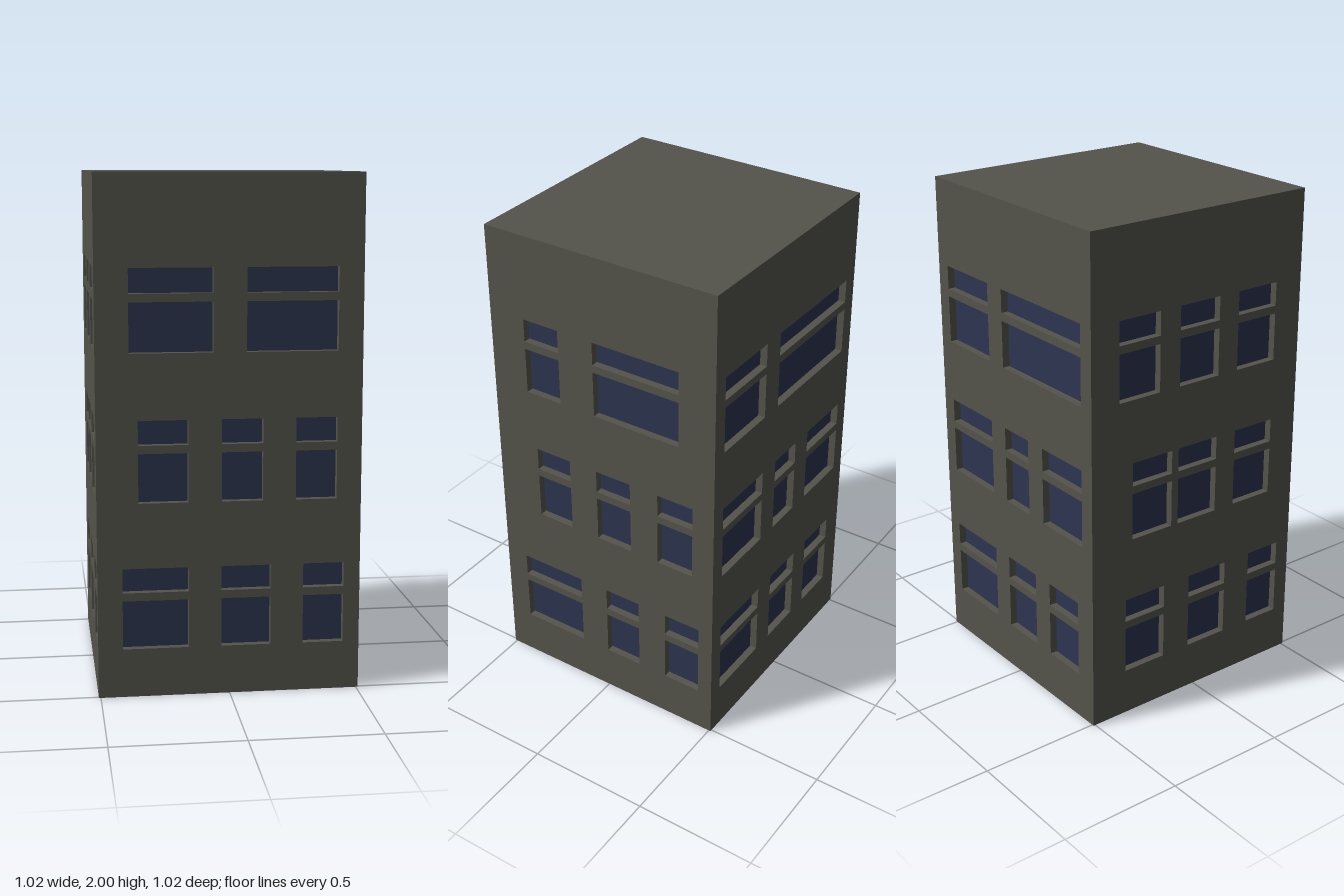
import * as THREE from 'three';

// Everything sits on a modular grid: 32 x 63 x 32 units, 63 units = 2.
const U = 2 / 63;
const WIDTH = 32, HEIGHT = 63;
const half = WIDTH / 2 * U;

// Storeys: lower and upper pane heights
const floors = [
  [[6, 12], [13, 16]],
  [[24, 30], [31, 34]],
  [[42, 48], [49, 52]],
];

// Facades: window spans per storey, counted from the facade's own left edge
const facades = [
  { name: 'frontWall', turn: 0, inset: 0,
    spans: [[[3, 11], [15, 21], [25, 30]], [[5, 11], [15, 20], [24, 29]], [[4, 14], [18, 29]]] },
  { name: 'sideWallPlusX', turn: Math.PI / 2, inset: 1,
    spans: [[[3, 12], [16, 21], [25, 30]], [[6, 11], [15, 20], [24, 29]], [[5, 10], [15, 27]]] },
  { name: 'backWall', turn: Math.PI, inset: 0,
    spans: [[[2, 11], [14, 20], [23, 29]], [[2, 11], [14, 19], [22, 30]], [[2, 11], [14, 30]]] },
  { name: 'sideWallMinusX', turn: -Math.PI / 2, inset: 1,
    spans: [[[5, 11], [15, 21], [25, 30]], [[6, 12], [13, 19], [22, 28]], [[4, 10], [13, 19], [22, 28]]] },
];

// Adds a closed rectangle, in grid units, to a shape or path
function rect(path, x0, y0, x1, y1) {
  const X = (v) => v * U - half;
  path.moveTo(X(x0), y0 * U);
  path.lineTo(X(x1), y0 * U);
  path.lineTo(X(x1), y1 * U);
  path.lineTo(X(x0), y1 * U);
  path.closePath();
  return path;
}

export function createModel() {
  const wall = new THREE.MeshStandardMaterial({ color: 0x54544c });
  wall.name = 'wall grey';
  const glass = new THREE.MeshStandardMaterial({ color: 0x2d3550 });
  glass.name = 'window blue';

  const model = new THREE.Group();
  model.name = 'building';

  // Solid core behind the facades
  const inner = (WIDTH - 2) * U;
  const core = new THREE.Mesh(new THREE.BoxGeometry(inner, HEIGHT * U, inner), wall);
  core.name = 'core';
  core.position.y = HEIGHT * U / 2;
  model.add(core);

  for (const { name, turn, inset, spans } of facades) {
    const facade = new THREE.Group();
    facade.name = name;
    facade.rotation.y = turn;

    const shape = rect(new THREE.Shape(), inset, 0, WIDTH - inset, HEIGHT);
    floors.forEach((panes, f) => {
      for (const [x0, x1] of spans[f]) {
        for (const [y0, y1] of panes) {
          // Recessed opening with a pane at its back
          shape.holes.push(rect(new THREE.Path(), x0, y0, x1, y1));
          const pane = new THREE.Mesh(new THREE.PlaneGeometry((x1 - x0) * U, (y1 - y0) * U), glass);
          pane.name = 'windowPane';
          pane.position.set((x0 + x1) / 2 * U - half, (y0 + y1) / 2 * U, half - U + 0.002);
          facade.add(pane);
        }
      }
    });

    // Wall slab, one unit thick
    const slab = new THREE.Mesh(new THREE.ExtrudeGeometry(shape, { depth: U, bevelEnabled: false }), wall);
    slab.name = 'wallSlab';
    slab.position.z = half - U;
    facade.add(slab);
    model.add(facade);
  }
  return model;
}
